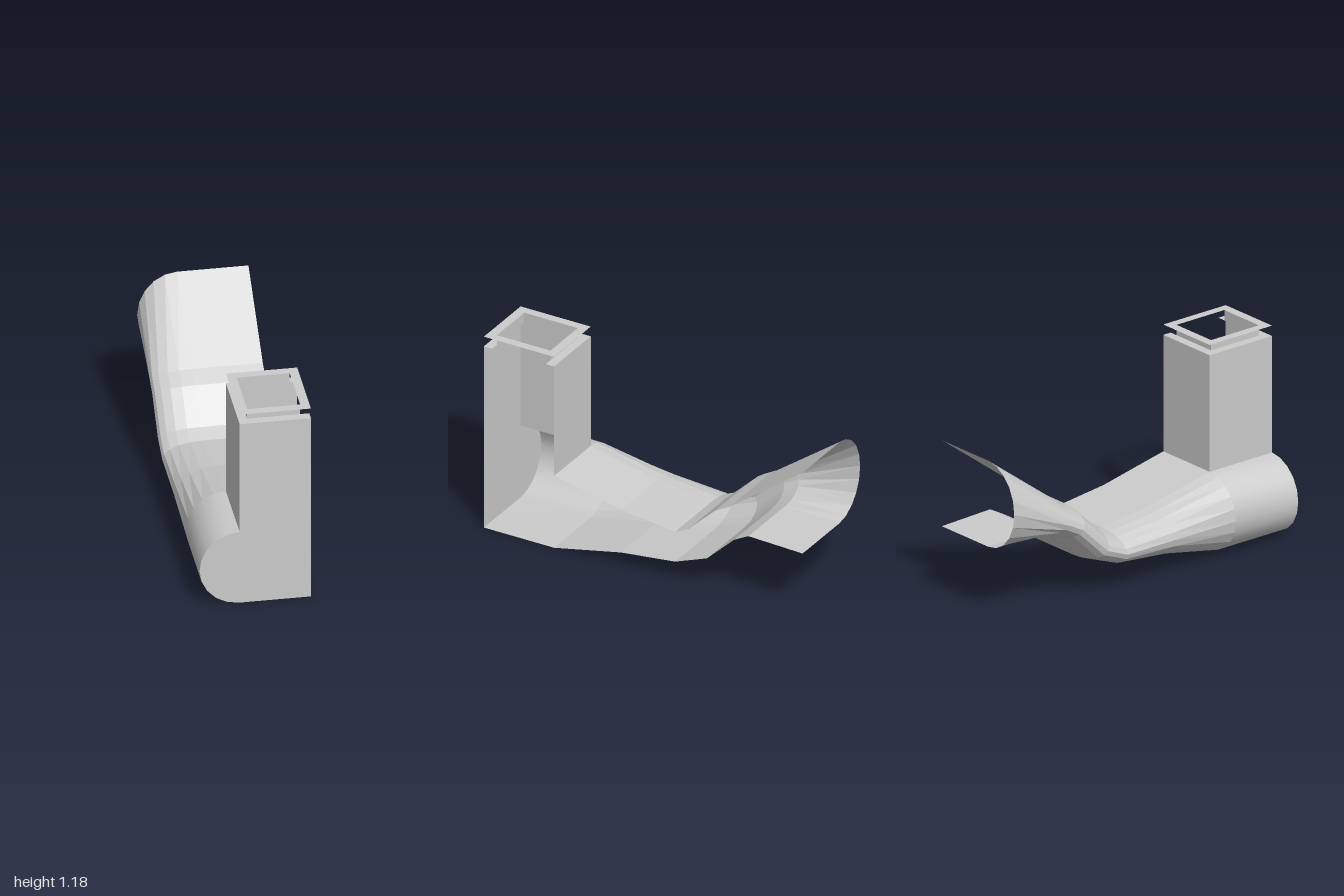
import * as THREE from 'three';

const OPEN = 0.305;   // open side of the duct
const EDGE = -0.085;  // where the flat roof and floor meet the rounded side
const R = 0.22;       // depth of the rounded side
const STEPS = 10;

function material(flat) {
  return new THREE.MeshStandardMaterial({ color: 0xcccccc, side: THREE.DoubleSide, flatShading: flat });
}

// Profile points [x, k]: k = 1 at the roof, -1 at the floor
function profile(withRoof) {
  const pts = withRoof ? [[OPEN, 1]] : [];
  for (let i = 0; i <= STEPS; i++) {
    const a = (Math.PI * i) / STEPS;
    pts.push([EDGE - R * Math.sin(a), Math.cos(a)]);
  }
  pts.push([OPEN, -1]);
  return pts;
}

// Skin between sections given as [roof z, roof y, floor z, floor y]
function skin(name, sections, pts, flat) {
  const pos = [], idx = [], n = pts.length;
  for (const [zt, yt, zb, yb] of sections) {
    for (const [x, k] of pts) {
      pos.push(x, (yt + yb) / 2 + (k * (yt - yb)) / 2, (zt + zb) / 2 + (k * (zt - zb)) / 2);
    }
  }
  for (let s = 0; s < sections.length - 1; s++) {
    for (let i = 0; i < n - 1; i++) {
      const a = s * n + i, b = a + 1, c = a + n, d = c + 1;
      idx.push(a, c, b, b, c, d);
    }
  }
  const geo = new THREE.BufferGeometry();
  geo.setAttribute('position', new THREE.Float32BufferAttribute(pos, 3));
  geo.setIndex(idx);
  geo.computeVertexNormals();
  const mesh = new THREE.Mesh(geo, material(flat));
  mesh.name = name;
  return mesh;
}

function plate(name, shape) {
  const mesh = new THREE.Mesh(new THREE.ShapeGeometry(shape), material(true));
  mesh.name = name;
  return mesh;
}

function polygon(points) {
  return new THREE.Shape(points.map(([x, y]) => new THREE.Vector2(x, y)));
}

// Three upright walls (front, closed side, back), leaving the +x side open
function threeWalls(name, x0, x1, z0, z1, y0, y1) {
  const group = new THREE.Group();
  group.name = name;
  const add = (part, w, x, z, turn) => {
    const wall = new THREE.Mesh(new THREE.PlaneGeometry(w, y1 - y0), material(true));
    wall.position.set(x, (y0 + y1) / 2, z);
    wall.rotation.y = turn;
    wall.name = part;
    group.add(wall);
  };
  const xm = (x0 + x1) / 2, zm = (z0 + z1) / 2;
  if (name !== 'tower') add('frontWall', x1 - x0, xm, z1, 0);
  add('sideWall', z1 - z0, x0, zm, -Math.PI / 2);
  add('backWall', x1 - x0, xm, z0, Math.PI);
  return group;
}

export function createModel() {
  const model = new THREE.Group();
  model.name = 'duct';

  const zBack = 0.56, zFront = 1, roofY = 0.443, topY = 1.12, flangeY = 1.18;
  const nx0 = -0.035, nx1 = 0.255, nz0 = 0.612, nz1 = 0.948;

  // Straight rounded base, open to the tower above
  model.add(skin('baseShell', [
    [zFront, roofY, zFront, 0],
    [zBack, roofY, zBack, 0],
  ], profile(false), false));

  // Tapering channel that dips, climbs and flares out
  model.add(skin('channel', [
    [zBack, roofY, zBack, 0],
    [0.14, 0.355, 0.14, 0.09],
    [-0.2, 0.315, -0.2, 0.13],
    [-0.28, 0.352, -0.4, 0.207],
    [-0.45, 0.515, -0.57, 0.37],
    [-0.54, 0.565, -0.66, 0.418],
    [-1, 0.907, -1, 0.407],
  ], profile(true), true));

  // Front wall closing both base and tower
  const outline = [[OPEN, 0], [OPEN, topY], [EDGE, topY]];
  for (const [x, k] of profile(false).slice(0, -1)) {
    outline.push([x, (roofY / 2) * (1 + k)]);
  }
  const front = plate('frontWall', polygon(outline));
  front.position.z = zFront;
  model.add(front);

  // Tower and the neck on top of it
  model.add(threeWalls('tower', EDGE, OPEN, zBack, zFront, roofY, topY));
  model.add(threeWalls('neck', nx0, nx1, nz0, nz1, topY, flangeY));

  // Shoulder between tower and neck, open on the +x side (shape y = -z)
  const shoulder = plate('shoulder', polygon([
    [OPEN, -zFront], [OPEN, -nz1], [nx0, -nz1], [nx0, -nz0],
    [OPEN, -nz0], [OPEN, -zBack], [EDGE, -zBack], [EDGE, -zFront],
  ]));
  shoulder.rotation.x = -Math.PI / 2;
  shoulder.position.y = topY;
  model.add(shoulder);

  // Flat flange ring
  const ring = polygon([[EDGE, -zFront], [OPEN, -zFront], [OPEN, -zBack], [EDGE, -zBack]]);
  ring.holes.push(polygon([[nx0, -nz1], [nx0, -nz0], [nx1, -nz0], [nx1, -nz1]]));
  const flange = plate('flange', ring);
  flange.rotation.x = -Math.PI / 2;
  flange.position.y = flangeY;
  model.add(flange);

  return model;
}
